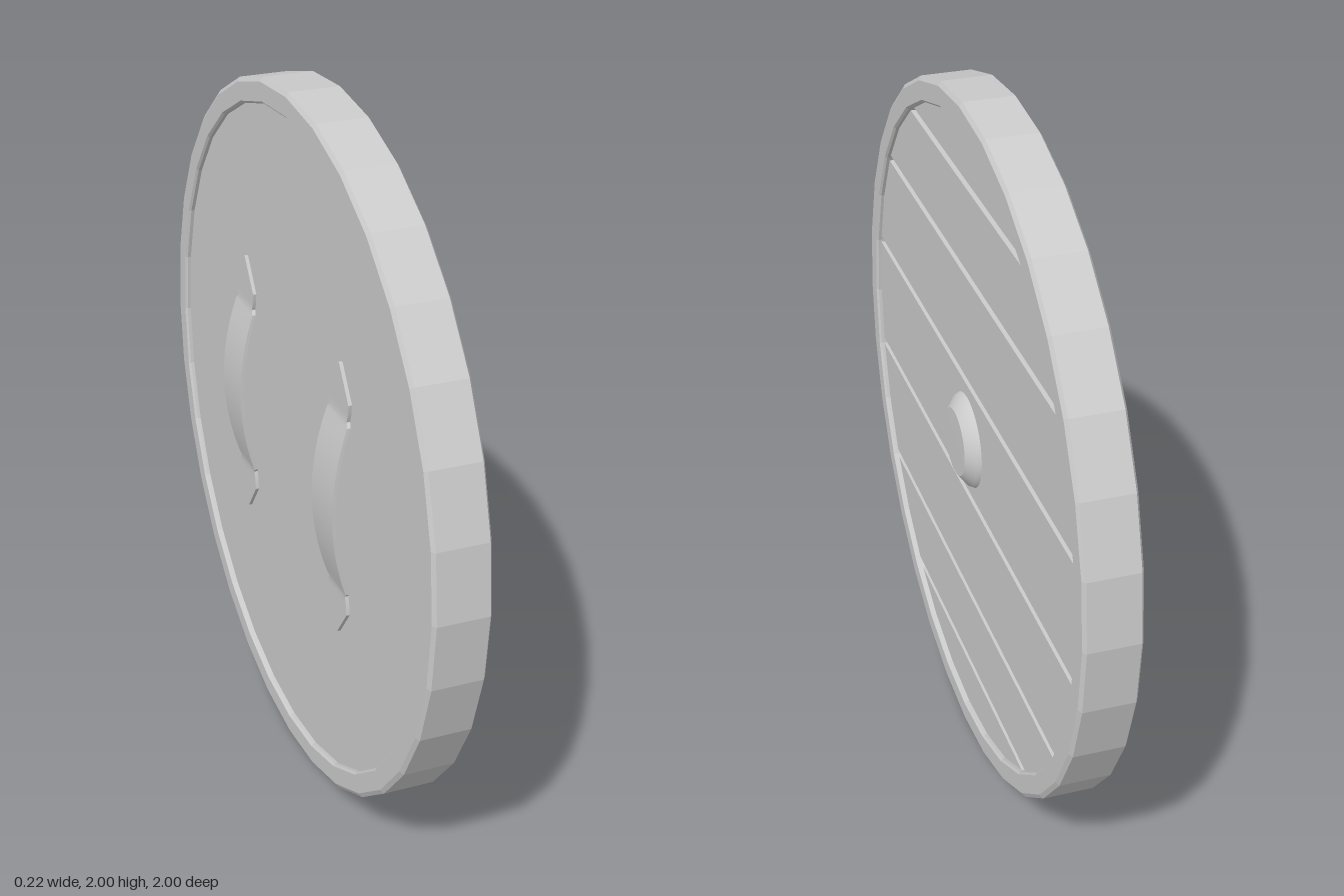
import * as THREE from 'three';
import { toCreasedNormals } from 'three/addons/utils/BufferGeometryUtils.js';

const SIDES = 32;
const PANEL_R = 0.935;

// Turn a profile of [radius, x] points around the x axis
function turned(profile) {
  const geo = new THREE.LatheGeometry(profile.map(([r, x]) => new THREE.Vector2(r, x)), SIDES);
  return geo.rotateZ(-Math.PI / 2);
}

// Half width of the panel polygon at height y
function halfWidth(y) {
  const step = (Math.PI * 2) / SIDES;
  const k = Math.min(SIDES / 2 - 1, Math.floor(Math.acos(THREE.MathUtils.clamp(y / PANEL_R, -1, 1)) / step));
  const a = k * step, b = a + step;
  const t = (y / PANEL_R - Math.cos(a)) / (Math.cos(b) - Math.cos(a));
  return Math.max(0, PANEL_R * THREE.MathUtils.lerp(Math.sin(a), Math.sin(b), t));
}

// Slice of the panel between two heights, from x0 to x1
function slice(y0, y1, x0, x1) {
  const ys = [y0];
  for (let i = SIDES / 2 - 1; i > 0; i--) {
    const y = PANEL_R * Math.cos((i * 2 * Math.PI) / SIDES);
    if (y > y0 + 1e-4 && y < y1 - 1e-4) ys.push(y);
  }
  ys.push(y1);
  const right = ys.map((y) => new THREE.Vector2(halfWidth(y), y));
  const left = ys.map((y) => new THREE.Vector2(-halfWidth(y), y)).reverse();
  const pts = [...right, ...left].filter((p, i, all) => i === 0 || p.distanceTo(all[i - 1]) > 1e-5);
  if (pts[0].distanceTo(pts[pts.length - 1]) < 1e-5) pts.pop();
  const geo = new THREE.ExtrudeGeometry(new THREE.Shape(pts), { depth: x1 - x0, bevelEnabled: false });
  return geo.rotateY(Math.PI / 2).translate(x0, 0, 0);
}

// Strap: rectangular sections [y, outer x, half width] joined from bottom to top
function strapGeometry() {
  const thick = 0.01;
  const foot = [[0.405, -0.066, 0.004], [0.315, -0.066, 0.07], [0.285, -0.066, 0.066], [0.262, -0.066, 0.058]];
  const sections = foot.map(([y, x, w]) => [-y, x, w]);
  const n = 12;
  for (let i = 0; i <= n; i++) {
    const t = (i / n) * 2 - 1;
    sections.push([t * 0.25, -0.069 - 0.041 * (1 - t * t), 0.07 + 0.005 * (1 - t * t)]);
  }
  sections.push(...foot.reverse());
  const pos = [], idx = [];
  for (const [y, x, w] of sections) {
    pos.push(x, y, -w, x, y, w, x + thick, y, w, x + thick, y, -w);
  }
  for (let s = 0; s < sections.length - 1; s++) {
    for (let j = 0; j < 4; j++) {
      const a = s * 4 + j, b = s * 4 + ((j + 1) % 4);
      idx.push(a, b, b + 4, a, b + 4, a + 4);
    }
  }
  const e = (sections.length - 1) * 4;
  idx.push(0, 2, 1, 0, 3, 2, e, e + 1, e + 2, e, e + 2, e + 3);
  const geo = new THREE.BufferGeometry();
  geo.setAttribute('position', new THREE.Float32BufferAttribute(pos, 3));
  geo.setIndex(idx);
  return toCreasedNormals(geo, 0.5);
}

export function createModel() {
  const model = new THREE.Group();
  model.name = 'roundShield';
  const smooth = new THREE.MeshStandardMaterial({ color: 0xcccccc });
  const flat = new THREE.MeshStandardMaterial({ color: 0xcccccc, flatShading: true });
  const body = new THREE.Group();
  body.name = 'shieldBody';
  body.position.y = 1;
  model.add(body);

  const add = (name, geo, mat) => {
    const mesh = new THREE.Mesh(geo, mat);
    mesh.name = name;
    body.add(mesh);
    return mesh;
  };

  // Rim with slightly eased edges
  add('rim', turned([
    [0.93, -0.05], [0.93, -0.066], [0.936, -0.072], [0.988, -0.072], [1, -0.064],
    [1, 0.076], [0.988, 0.084], [0.936, 0.084], [0.93, 0.078], [0.93, -0.05],
  ]), flat);

  // Backing board, with separate planks in front leaving narrow grooves
  add('backBoard', slice(-PANEL_R, PANEL_R, -0.056, 0.046), flat);
  const grooves = [-0.77, -0.515, -0.175, 0.185, 0.515, 0.775];
  const edges = [-PANEL_R, ...grooves, PANEL_R];
  for (let i = 0; i < edges.length - 1; i++) {
    const y0 = edges[i] + (i > 0 ? 0.011 : 0);
    const y1 = edges[i + 1] - (i < edges.length - 2 ? 0.011 : 0);
    add('plank' + (i + 1), slice(y0, y1, 0.044, 0.069), flat);
  }

  // Central boss, its base sunk behind the planks
  add('boss', toCreasedNormals(turned([
    [0.19, 0.04], [0.19, 0.054], [0.137, 0.067], [0.13, 0.081], [0.097, 0.106], [0, 0.107],
  ]), 0.5), smooth);

  // Two arm straps on the back
  const strap = strapGeometry();
  for (const [name, z] of [['frontStrap', 0.362], ['rearStrap', -0.365]]) {
    add(name, strap, smooth).position.z = z;
  }

  return model;
}
